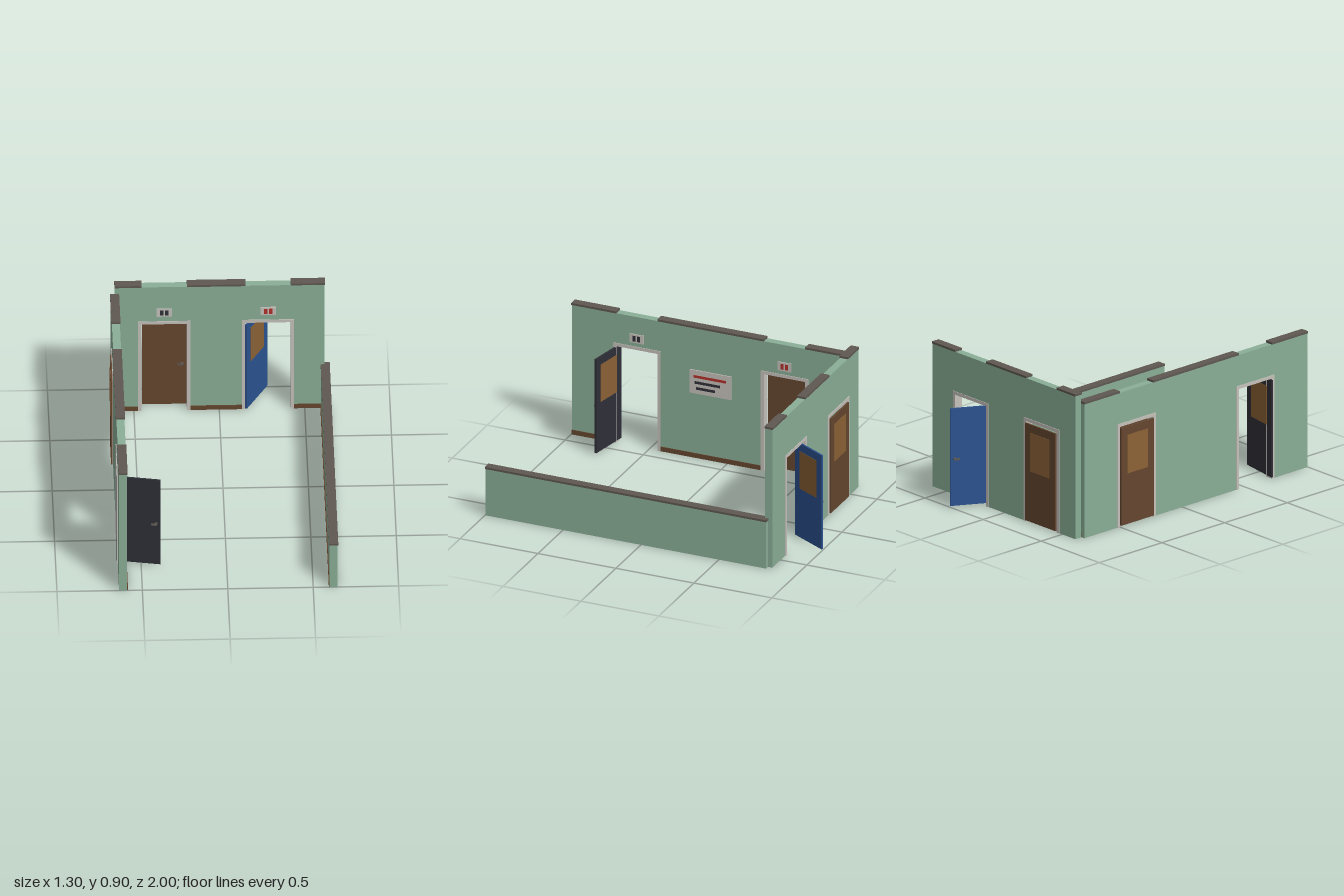
import * as THREE from 'three';

const mat = (name, color) => {
  const m = new THREE.MeshStandardMaterial({ color });
  m.name = name;
  return m;
};

export function createModel() {
  const green = mat('wall green', 0x8aae96);
  const stone = mat('cap and handle grey', 0x5f5851);
  const pale = mat('frame and sign pale grey', 0xc6c2bc);
  const brown = mat('wood brown', 0x64462f);
  const blue = mat('door blue', 0x2b5290);
  const black = mat('charcoal', 0x2f2f38);
  const amber = mat('amber glass', 0x8c6236);
  const red = mat('sign red', 0xb0302a);

  const THICK = 0.047, HALF = THICK / 2;
  const OPEN = 0.1325, OPEN_TOP = 0.624, TRIM = 0.02;
  const DOOR_W = 0.26, DOOR_T = 0.011;

  const add = (parent, name, geo, material, x = 0, y = 0, z = 0) => {
    const m = new THREE.Mesh(geo, material);
    m.name = name;
    m.position.set(x, y, z);
    parent.add(m);
    return m;
  };
  // Box given by its extents along x and y, its depth and its centre in z
  const slab = (parent, name, material, x0, x1, y0, y1, depth, z = 0) =>
    add(parent, name, new THREE.BoxGeometry(x1 - x0, y1 - y0, depth), material,
      (x0 + x1) / 2, (y0 + y1) / 2, z);

  const extrude = (points, depth) => {
    const shape = new THREE.Shape(points.map(([x, y]) => new THREE.Vector2(x, y)));
    const geo = new THREE.ExtrudeGeometry(shape, { depth, bevelEnabled: false });
    return geo.translate(0, 0, -depth / 2);
  };

  // U-shaped trim lining an opening
  function doorFrame(parent, c) {
    const i = OPEN, o = OPEN + TRIM, t = OPEN_TOP;
    add(parent, 'doorFrame', extrude([
      [-o, 0], [-i, 0], [-i, t], [i, t], [i, 0], [o, 0], [o, t + TRIM], [-o, t + TRIM],
    ], THICK + 0.007), pale, c);
  }

  // Door hinged at its local origin; side is the face that carries the handle
  function door(parent, { c, colour, angle = 0, side = 1 }) {
    const g = new THREE.Group();
    g.name = 'door';
    g.position.set(c - OPEN + 0.003, 0, side > 0 ? -0.03 : 0.035);
    g.rotation.y = angle;
    parent.add(g);
    slab(g, 'doorLeaf', colour, 0, DOOR_W, 0.01, 0.616, DOOR_T);
    slab(g, 'doorWindow', amber, 0.048, 0.214, 0.325, 0.565, 0.003, -side * (DOOR_T / 2 + 0.0008));
    // Short spindle with a lever pointing back to the hinge
    slab(g, 'handleSpindle', stone, 0.229, 0.242, 0.297, 0.31, 0.016, side * (DOOR_T / 2 + 0.007));
    slab(g, 'handleLever', stone, 0.207, 0.242, 0.298, 0.309, 0.007, side * (DOOR_T / 2 + 0.015));
  }

  // Small plate with two upright bars above a door
  function doorSign(parent, c, y, colour) {
    slab(parent, 'doorSign', pale, c - 0.045, c + 0.045, y - 0.0275, y + 0.0275, 0.006, HALF + 0.003);
    for (const s of [-1, 1]) {
      const x = c + s * 0.0145;
      slab(parent, 'doorSignBar', colour, x - 0.0095, x + 0.0095, y - 0.0175, y + 0.0175, 0.003, HALF + 0.007);
    }
  }

  // Wall running along local x, room side facing +z
  function wall(name, { x0, x1, height, doors = [], signY }) {
    const g = new THREE.Group();
    g.name = name;
    const hole = OPEN + 0.006, outline = [[x0, 0]];
    for (const { c } of doors) {
      outline.push([c - hole, 0], [c - hole, OPEN_TOP + 0.006], [c + hole, OPEN_TOP + 0.006], [c + hole, 0]);
    }
    outline.push([x1, 0], [x1, height], [x0, height]);
    add(g, 'wallPanel', extrude(outline, THICK), green);

    // Caps and skirting run between the doors
    const edges = [x0, ...doors.flatMap(({ c }) => [c, c]), x1];
    for (let i = 0; i < edges.length; i += 2) {
      const a = edges[i], b = edges[i + 1];
      const first = i === 0, last = i + 2 === edges.length;
      const trim = (inset) => [first ? a : a + inset, last ? b : b - inset];
      const [ca, cb] = trim(OPEN);
      slab(g, 'wallCap', stone, ca - (first ? 0.002 : 0), cb + (last ? 0.002 : 0), height, height + 0.013, THICK + 0.007);
      const [sa, sb] = trim(OPEN + TRIM);
      slab(g, 'skirting', brown, sa, sb, 0.001, 0.03, 0.005, HALF + 0.0025);
    }
    for (const d of doors) {
      doorFrame(g, d.c);
      door(g, d);
      doorSign(g, d.c, signY, d.sign);
    }
    return g;
  }

  const model = new THREE.Group();
  model.name = 'roomCorner';

  const back = wall('backWall', {
    x0: -0.612, x1: 0.617, height: 0.89, signY: 0.708,
    doors: [
      { c: -0.322, colour: brown, sign: black },
      { c: 0.286, colour: blue, sign: red, angle: 1.065, side: -1 },
    ],
  });
  back.position.z = -0.808;

  const side = wall('sideWall', {
    x0: -0.998, x1: 0.782, height: 0.835, signY: 0.696,
    doors: [
      { c: -0.58, colour: black, sign: black, angle: -1.745 },
      { c: 0.368, colour: brown, sign: red },
    ],
  });
  side.rotation.y = Math.PI / 2;
  side.position.x = -0.613;

  // Notice board with three lines
  slab(side, 'noticeBoard', pale, -0.24, 0.027, 0.417, 0.567, 0.006, HALF + 0.003);
  [[red, -0.214, -0.005, 0.527], [black, -0.208, -0.043, 0.489], [black, -0.198, -0.075, 0.452]]
    .forEach(([m, a, b, y]) => slab(side, 'noticeLine', m, a, b, y - 0.008, y + 0.008, 0.003, HALF + 0.007));

  const low = wall('lowWall', { x0: -0.803, x1: 0.998, height: 0.3 });
  low.rotation.y = -Math.PI / 2;
  low.position.x = 0.62;

  model.add(back, side, low);
  return model;
}
